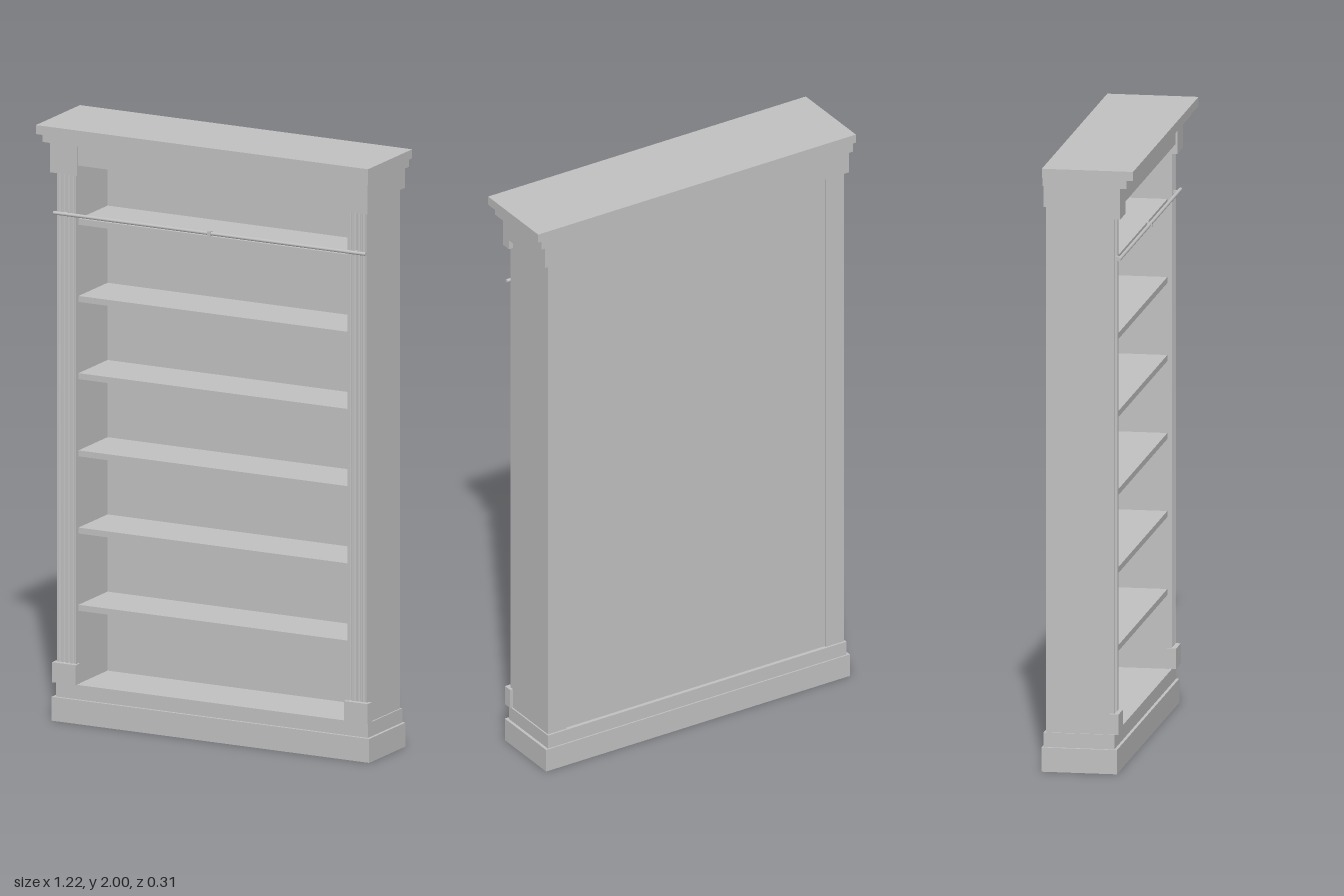
import * as THREE from 'three';

export function createModel() {
  const model = new THREE.Group();
  model.name = 'bookcase';
  const grey = new THREE.MeshStandardMaterial({ color: 0xc0c0c0 });
  grey.name = 'light grey';

  const add = (name, geometry, x = 0, y = 0, z = 0) => {
    const mesh = new THREE.Mesh(geometry, grey);
    mesh.name = name;
    mesh.position.set(x, y, z);
    model.add(mesh);
    return mesh;
  };
  // Box given by its limits on each axis
  const box = (name, x0, x1, y0, y1, z0, z1) =>
    add(name, new THREE.BoxGeometry(x1 - x0, y1 - y0, z1 - z0),
      (x0 + x1) / 2, (y0 + y1) / 2, (z0 + z1) / 2);

  // Stepped plinth
  box('plinth', -0.585, 0.585, 0, 0.08, -0.153, 0.095);
  box('plinthStep', -0.575, 0.575, 0.08, 0.128, -0.148, 0.085);

  // Frieze and stepped cornice
  box('frieze', -0.585, 0.585, 1.868, 1.94, -0.147, 0.1);
  box('corniceStep', -0.6, 0.6, 1.94, 1.97, -0.147, 0.13);
  box('corniceTop', -0.612, 0.612, 1.97, 2, -0.147, 0.153);

  // Recessed back panel
  box('backPanel', -0.5, 0.5, 0.128, 1.868, -0.135, -0.128);

  // Shelves
  for (let i = 0; i < 6; i++) {
    const y = 0.372 + i * 0.258;
    box('shelf', -0.5, 0.5, y, y + 0.02, -0.128, 0.07);
  }

  // Fluted pilaster cross-section: half-round grooves along the front
  const flutes = 4, width = 0.07, radius = 0.006;
  const profile = new THREE.Shape();
  profile.moveTo(-width / 2, 0);
  profile.lineTo(width / 2, 0);
  profile.lineTo(width / 2, -0.012);
  for (let i = flutes - 1; i >= 0; i--) {
    const cx = (i - (flutes - 1) / 2) * 0.0165;
    profile.lineTo(cx + radius, -0.012);
    profile.absarc(cx, -0.012, radius, 0, Math.PI, false);
  }
  profile.lineTo(-width / 2, -0.012);
  const pilaster = new THREE.ExtrudeGeometry(profile, {
    depth: 1.64, bevelEnabled: false, curveSegments: 6,
  });
  pilaster.rotateX(-Math.PI / 2); // extrude upwards, grooves to the front

  for (const s of [-1, 1]) {
    const side = (name, a, b, ...rest) =>
      box(name, Math.min(s * a, s * b), Math.max(s * a, s * b), ...rest);
    side('sidePanel', 0.5, 0.57, 0.128, 1.868, -0.141, 0.073);
    side('pilasterBase', 0.494, 0.581, 0.13, 0.197, 0.07, 0.1);
    side('pilasterCapital', 0.485, 0.585, 1.835, 1.94, 0.07, 0.106);
    add('pilaster', pilaster, s * 0.535, 0.197, 0.073);
    // Rail bracket
    side('railBracket', 0.53, 0.54, 1.696, 1.704, 0.08, 0.1);
  }

  // Ladder rail across the front
  const rail = new THREE.CylinderGeometry(0.006, 0.006, 1.15, 12);
  rail.rotateZ(Math.PI / 2);
  add('rail', rail, 0, 1.7, 0.1);
  box('railJoint', -0.006, 0.006, 1.692, 1.708, 0.092, 0.108);

  return model;
}
